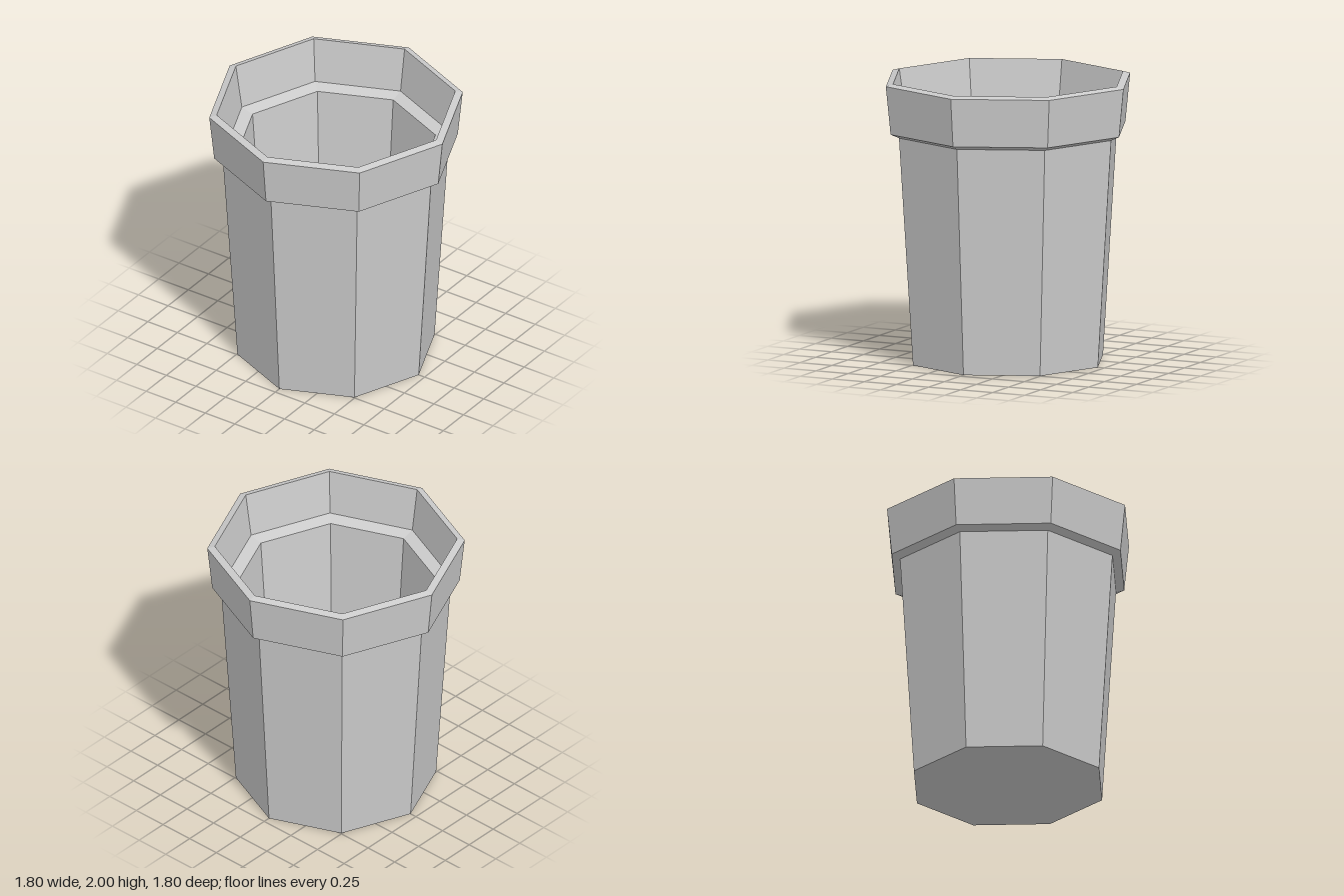
import * as THREE from 'three';

const SIDES = 8;

export function createModel() {
  const group = new THREE.Group();
  group.name = 'plantPot';
  const material = new THREE.MeshStandardMaterial({ color: 0xcccccc, flatShading: true });

  // Each part is an eight-sided turned profile of [radius, height] points
  const addTurned = (name, points) => {
    const profile = points.map(([r, y]) => new THREE.Vector2(r, y));
    const mesh = new THREE.Mesh(new THREE.LatheGeometry(profile, SIDES), material);
    mesh.name = name;
    group.add(mesh);
  };

  // Underside and tapered outer wall
  addTurned('outerWall', [[0, 0], [0.7, 0], [0.803, 1.615]]);

  // Flared collar: sloped underside, outer band, bevelled lip, inner band, inner ledge
  addTurned('collar', [
    [0.803, 1.615], [0.865, 1.643], [0.9, 1.985],
    [0.847, 2], [0.797, 1.678], [0.706, 1.653],
  ]);

  // Tapered inside wall and floor
  addTurned('innerWall', [[0.706, 1.653], [0.592, 0.09], [0, 0.09]]);

  return group;
}
